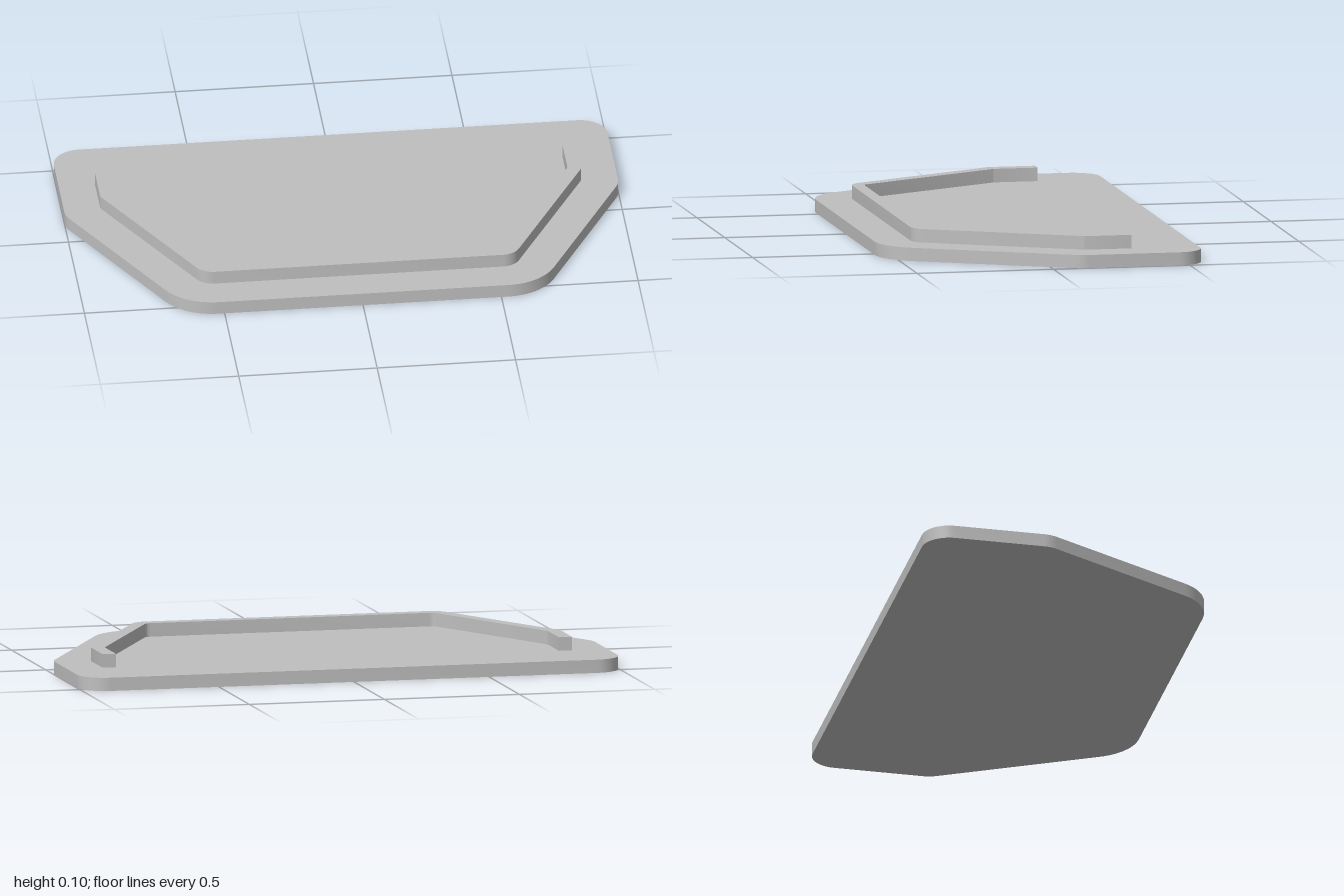
import * as THREE from 'three';
import { toCreasedNormals } from 'three/addons/utils/BufferGeometryUtils.js';

const BASE_H = 0.048;
const RIM_H = 0.049;

// Closed outline from [x, z, radius] corners, each rounded with a near-circular arc
function roundedShape(corners) {
  const shape = new THREE.Shape();
  const n = corners.length;
  corners.forEach(([x, z, r], i) => {
    const c = new THREE.Vector2(x, z);
    const [px, pz] = corners[(i + n - 1) % n];
    const [nx, nz] = corners[(i + 1) % n];
    const toPrev = new THREE.Vector2(px, pz).sub(c).normalize();
    const toNext = new THREE.Vector2(nx, nz).sub(c).normalize();
    const turn = Math.PI - Math.acos(toPrev.dot(toNext));
    const t = r * Math.tan(turn / 2);
    const h = t - r * (4 / 3) * Math.tan(turn / 4); // control point distance from corner
    const a = c.clone().addScaledVector(toPrev, t);
    const b = c.clone().addScaledVector(toNext, t);
    const ca = c.clone().addScaledVector(toPrev, h);
    const cb = c.clone().addScaledVector(toNext, h);
    if (i === 0) shape.moveTo(a.x, a.y);
    else shape.lineTo(a.x, a.y);
    if (r > 0) shape.bezierCurveTo(ca.x, ca.y, cb.x, cb.y, b.x, b.y);
  });
  shape.closePath();
  return shape;
}

// Mirror a half outline (x > 0) to the other side
const mirrored = (half) => [...half, ...half.map(([x, z, r]) => [-x, z, r]).reverse()];

// Upright slab with a flat outline in x/z
function slab(name, corners, y, height, material) {
  const geo = new THREE.ExtrudeGeometry(roundedShape(corners), {
    depth: height, bevelEnabled: false, curveSegments: 12,
  });
  geo.rotateX(Math.PI / 2);
  geo.translate(0, y + height, 0);
  const mesh = new THREE.Mesh(toCreasedNormals(geo, 0.4), material);
  mesh.name = name;
  return mesh;
}

export function createModel() {
  const group = new THREE.Group();
  group.name = 'tray lid';
  const grey = new THREE.MeshStandardMaterial({ color: 0xbfbfbf });
  grey.name = 'light grey';

  // Base plate: straight back, tapered sides, rounded front
  const plate = mirrored([
    [1, -0.558, 0.1],
    [1, -0.105, 0.1],
    [0.645, 0.558, 0.2],
  ]);
  group.add(slab('basePlate', plate, 0, BASE_H, grey));

  // Raised rim, open at the back: outer edge, then inner edge
  const outer = mirrored([
    [0.869, -0.313, 0],
    [0.869, -0.142, 0.03],
    [0.562, 0.427, 0.07],
  ]);
  const inner = mirrored([
    [0.82, -0.313, 0],
    [0.82, -0.152, 0.03],
    [0.533, 0.382, 0.03],
  ]).reverse();
  group.add(slab('raisedRim', [...outer, ...inner], BASE_H, RIM_H, grey));

  return group;
}
